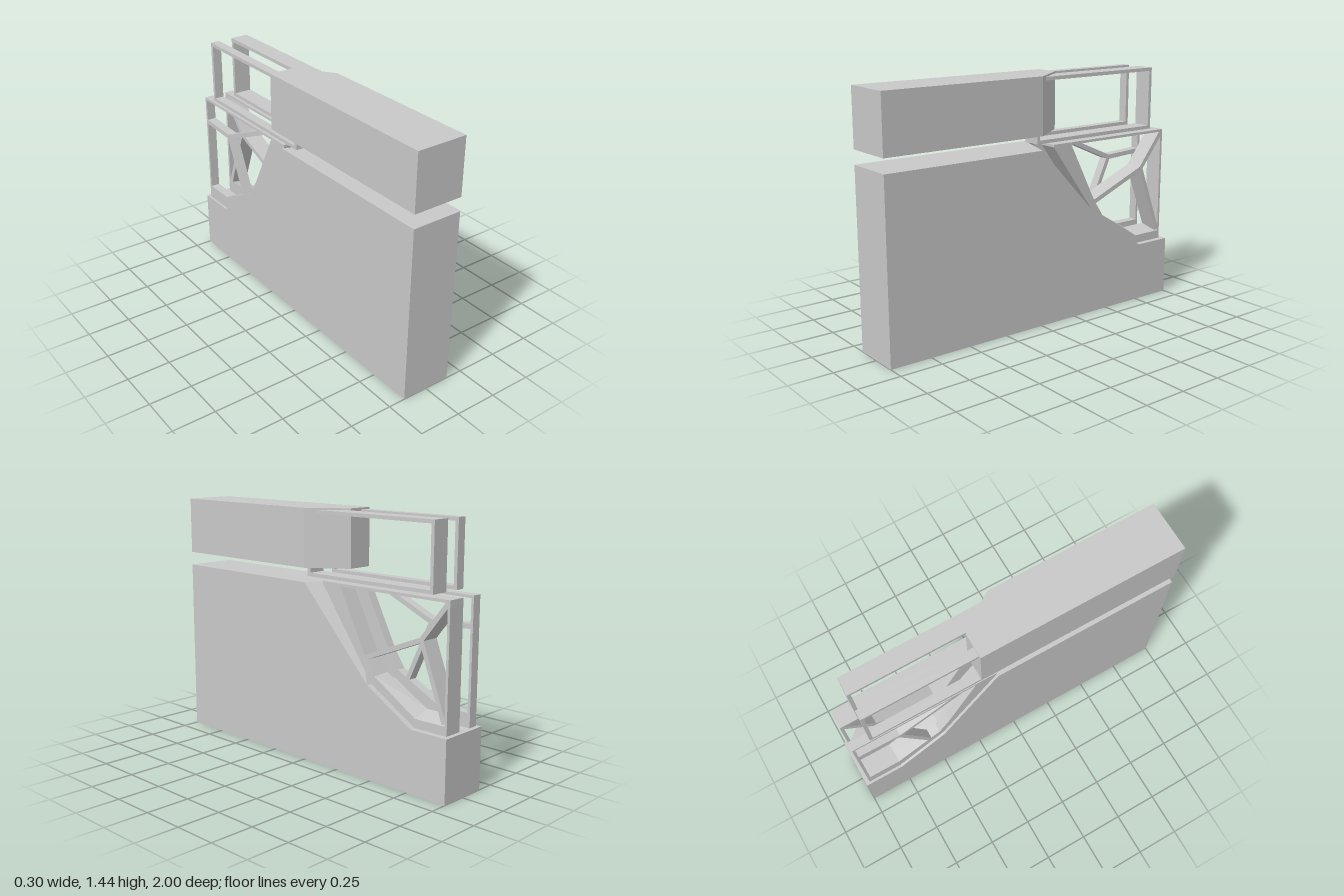
import * as THREE from 'three';
import { ConvexGeometry } from 'three/addons/geometries/ConvexGeometry.js';

export function createModel() {
  const model = new THREE.Group();
  const grey = new THREE.MeshStandardMaterial({ color: 0xc8c8c8 });
  grey.name = 'plain grey';

  const add = (parent, name, geometry) => {
    const mesh = new THREE.Mesh(geometry, grey);
    mesh.name = name;
    parent.add(mesh);
    return mesh;
  };
  const points = (list) => list.map(([z, y]) => new THREE.Vector2(-z, y));

  // Side profile of [z, y] points, with optional hole, extruded from x0 to x1
  const sideExtrude = (outline, x0, x1, hole) => {
    const shape = new THREE.Shape(points(outline));
    if (hole) shape.holes.push(new THREE.Path(points(hole)));
    const geometry = new THREE.ExtrudeGeometry(shape, { depth: x1 - x0, bevelEnabled: false });
    return geometry.rotateY(Math.PI / 2).translate(x0, 0, 0);
  };

  // Straight bar between two [z, y] points across the panel width
  const strut = ([za, ya], [zb, yb], x0, x1, t) => {
    const dz = zb - za, dy = yb - ya;
    const length = Math.hypot(dz, dy);
    return new THREE.BoxGeometry(x1 - x0, t, length)
      .rotateX(-Math.atan2(dy, dz))
      .translate((x0 + x1) / 2, (ya + yb) / 2, (za + zb) / 2);
  };

  // Lower body with a stepped notch at the back
  const body = new THREE.Group();
  body.name = 'lowerBody';
  model.add(body);
  add(body, 'lowerBlock', sideExtrude(
    [[1, 0], [1, 1.03], [0, 1.03], [-0.47, 0.53], [-0.77, 0.35], [-1, 0.35], [-1, 0]], -0.15, 0.15));
  // Skewed top of the notch, reaching further back on the right side
  add(body, 'notchWedge', new ConvexGeometry([
    [0.15, 1.03, 0], [-0.15, 1.03, 0], [-0.15, 1.03, -0.11], [0.15, 0.53, -0.47], [-0.15, 0.53, -0.47],
  ].map((p) => new THREE.Vector3(...p))));

  // Upper block with one chamfered back corner
  const plan = new THREE.Shape([
    [-0.15, -1], [0.15, -1], [0.15, 0], [0, 0.21], [-0.15, 0.21],
  ].map(([x, y]) => new THREE.Vector2(x, y)));
  add(model, 'upperBlock', new THREE.ExtrudeGeometry(plan, { depth: 0.33, bevelEnabled: false })
    .rotateX(-Math.PI / 2).translate(0, 1.11, 0));

  // Two truss panels in the notch, each with a three-armed web and a frame above
  const panels = [
    {
      side: 'left', x0: 0.008, x1: 0.115, floor: 0.4, node: [-0.8, 0.82],
      ends: [[-0.43, 0.67], [-0.965, 1.03], [-0.955, 0.41]],
    },
    {
      side: 'right', x0: -0.135, x1: -0.08, floor: 0.43, node: [-0.71, 0.872],
      ends: [[-0.34, 1.035], [-0.965, 0.885], [-0.56, 0.54]],
    },
  ];
  for (const { side, x0, x1, floor, node, ends } of panels) {
    const truss = new THREE.Group();
    truss.name = side + 'Truss';
    model.add(truss);
    add(truss, 'trussRim', sideExtrude(
      [[-0.11, 1.045], [-0.975, 1.045], [-0.975, 0.35], [-0.77, 0.35], [-0.47, 0.53], [-0.11, 1.03]],
      x0, x1,
      [[-0.24, 1.03], [-0.42, 0.68], [-0.49, 0.575], [-0.77, floor], [-0.96, floor], [-0.96, 1.03]]));
    ends.forEach((end) => add(truss, 'trussStrut', strut(node, end, x0, x1, 0.027)));

    add(model, side + 'UpperFrame', sideExtrude(
      [[0.01, 1.06], [-0.868, 1.06], [-0.868, 1.43], [0.01, 1.43]], x0, x1,
      [[-0.01, 1.08], [-0.848, 1.08], [-0.848, 1.41], [-0.01, 1.41]]));
  }

  // Sloping fillets along the lower rim of the left truss
  const { x0, x1 } = panels[0];
  [[[-0.49, 0.575], [-0.77, 0.4]], [[-0.77, 0.4], [-0.96, 0.4]]].forEach(([[za, ya], [zb, yb]], i) => {
    const corners = [
      [x1, ya, za], [x0, ya, za], [x1, yb, zb], [x0, yb, zb],
      [x0, ya + (i ? 0.03 : 0.004), za], [x0, yb + 0.03, zb],
    ];
    add(model, 'rimFillet', new ConvexGeometry(corners.map((p) => new THREE.Vector3(...p))));
  });

  return model;
}
